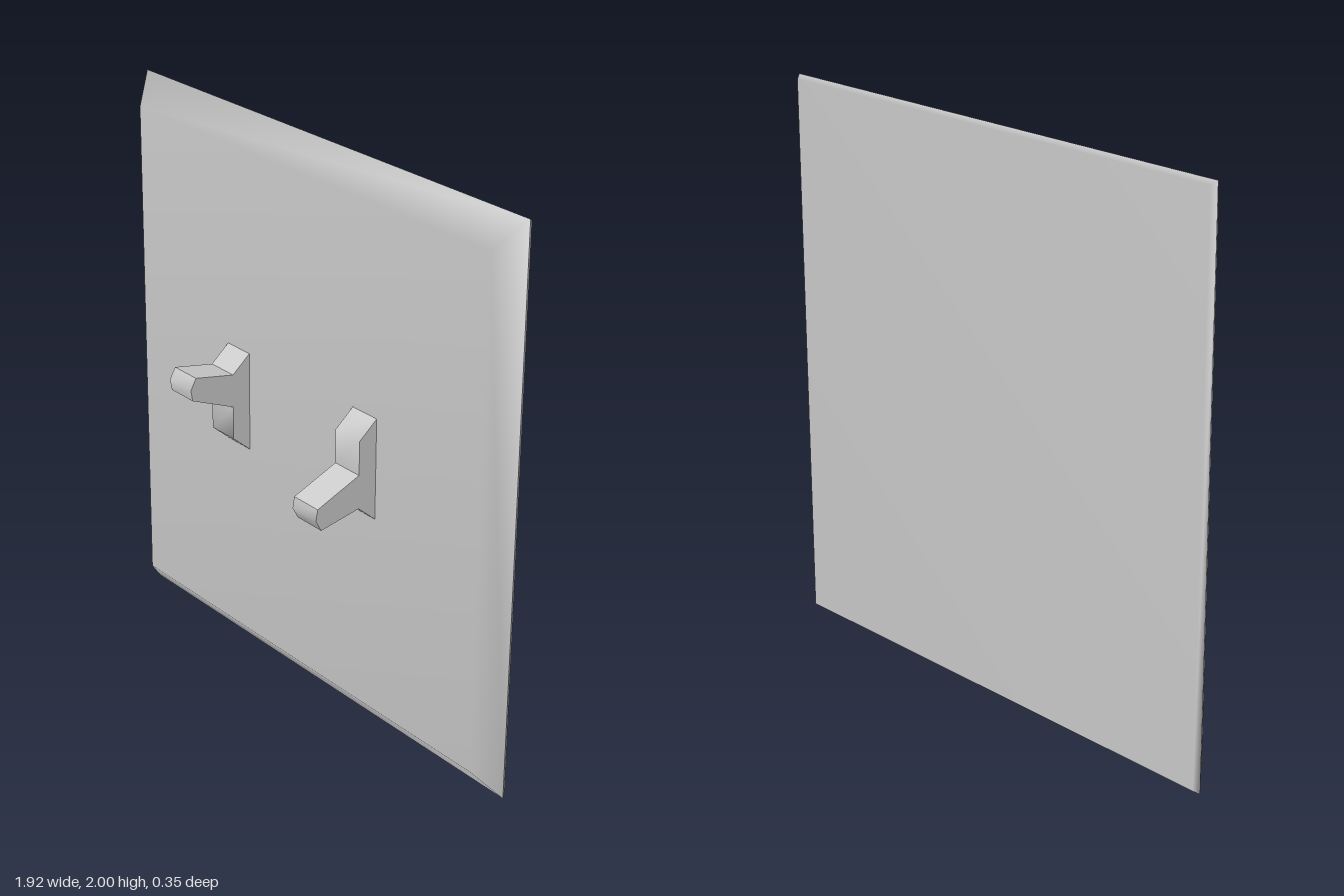
import * as THREE from 'three';
import { toCreasedNormals } from 'three/addons/utils/BufferGeometryUtils.js';

const grey = new THREE.MeshStandardMaterial({ color: 0xcccccc });

// Smooth bevelled sheet: a rectangular face with a sloping border out to the rim
function bevelledSheet(face, rim, flip) {
  const positions = [];
  for (const [hw, hh, z] of [face, rim]) {
    for (const [sx, sy] of [[-1, -1], [1, -1], [1, 1], [-1, 1]]) {
      positions.push(sx * hw, 1 + sy * hh, z);
    }
  }
  const index = [0, 1, 2, 0, 2, 3];
  for (let j = 0; j < 4; j++) {
    const k = (j + 1) % 4;
    index.push(4 + j, 4 + k, k, 4 + j, k, j);
  }
  if (flip) index.reverse();
  const geometry = new THREE.BufferGeometry();
  geometry.setAttribute('position', new THREE.Float32BufferAttribute(positions, 3));
  geometry.setIndex(index);
  geometry.computeVertexNormals();
  return geometry;
}

// Side profile (z, y from the switch centre) of the base with its lever raised
const profile = [
  [-0.07, -0.18], [0, -0.12], [0, 0], [0.17, 0.07],
  [0.177, 0.11], [0.155, 0.15], [0, 0.12], [-0.07, 0.18],
];

function toggleSwitch(name, x, direction) {
  const width = 0.12;
  const shape = new THREE.Shape(profile.map(([z, y]) => new THREE.Vector2(z, 1 + y * direction)));
  const geometry = new THREE.ExtrudeGeometry(shape, { depth: width, bevelEnabled: false });
  geometry.rotateY(-Math.PI / 2).translate(x + width / 2, 0, 0);
  const mesh = new THREE.Mesh(toCreasedNormals(geometry, THREE.MathUtils.degToRad(50)), grey);
  mesh.name = name;
  return mesh;
}

export function createModel() {
  const model = new THREE.Group();
  model.name = 'doubleLightSwitch';

  // Wall plate: wide front bevel and a thin back bevel meeting at a sharp rim
  const plate = new THREE.Group();
  plate.name = 'wallPlate';
  const rim = [0.962, 1, -0.155];
  const front = new THREE.Mesh(bevelledSheet([0.89, 0.9, -0.07], rim, false), grey);
  front.name = 'plateFront';
  const back = new THREE.Mesh(bevelledSheet([0.948, 0.986, -0.175], rim, true), grey);
  back.name = 'plateBack';
  plate.add(front, back);
  model.add(plate);

  // One switch up, one down
  model.add(toggleSwitch('rightSwitchUp', -0.335, 1));
  model.add(toggleSwitch('leftSwitchDown', 0.335, -1));
  return model;
}
